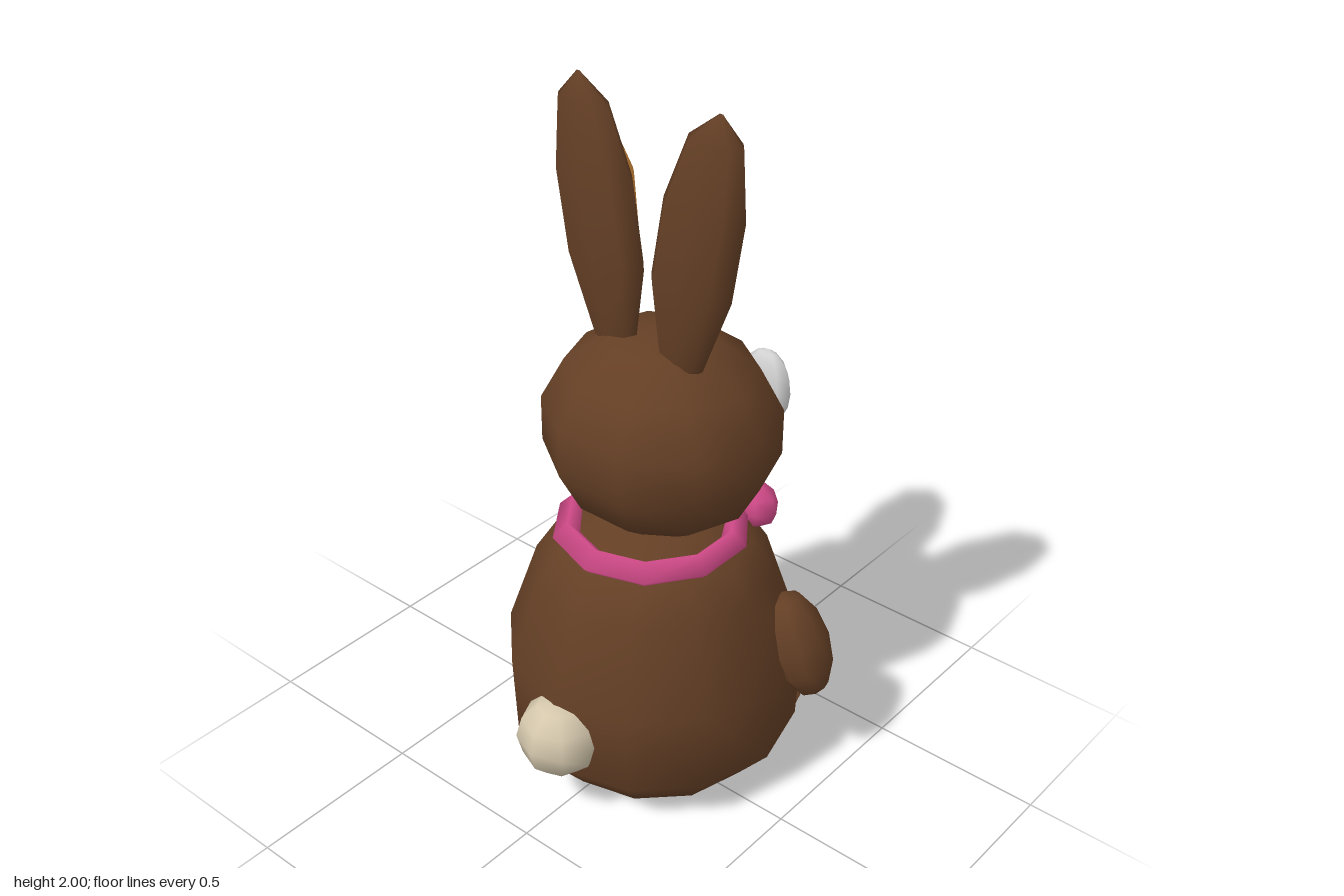
import * as THREE from 'three';

const mat = (name, color) => {
  const m = new THREE.MeshStandardMaterial({ color });
  m.name = name;
  return m;
};

export function createModel() {
  const fur = mat('brown fur', 0x643f25);
  const paw = mat('light brown', 0x7c4e30);
  const lip = mat('dark brown', 0x4a2c17);
  const innerEar = mat('amber', 0xb8772f);
  const pink = mat('pink', 0xd04a88);
  const white = mat('eye white', 0xd2d2d2);
  const black = mat('black', 0x0a0a0a);
  const cream = mat('cream', 0xd4c7ac);

  const model = new THREE.Group();
  const add = (name, geometry, material, pos = [0, 0, 0], rot = [0, 0, 0]) => {
    const mesh = new THREE.Mesh(geometry, material);
    mesh.name = name;
    mesh.position.set(...pos);
    mesh.rotation.set(...rot);
    model.add(mesh);
    return mesh;
  };

  // Ellipsoid with given half sizes
  const blob = (rx, ry, rz, seg = 8, rows = 6, start = 0) =>
    new THREE.SphereGeometry(1, seg, rows, start).scale(rx, ry, rz);

  // Upright loft through elliptical rows [y, zMin, zMax, half thickness]
  const loft = (rows, cx, side, n = 8) => {
    const pos = [], index = [];
    rows.forEach(([y, z0, z1, t], i) => {
      const cz = side * (z0 + z1) / 2, w = (z1 - z0) / 2;
      for (let j = 0; j < n; j++) {
        const a = (j / n) * Math.PI * 2;
        pos.push(cx + t * Math.cos(a), y, cz + w * Math.sin(a));
        if (i < rows.length - 1) {
          const p = i * n + j, q = i * n + (j + 1) % n;
          index.push(p, p + n, q, q, p + n, q + n);
        }
      }
    });
    const g = new THREE.BufferGeometry();
    g.setAttribute('position', new THREE.Float32BufferAttribute(pos, 3));
    g.setIndex(index);
    g.computeVertexNormals();
    return g;
  };

  // Body
  const profile = [[0, 0.03], [0.31, 0.03], [0.41, 0.15], [0.42, 0.39],
    [0.335, 0.64], [0.27, 0.74], [0.15, 0.8], [0, 0.82]];
  add('body', new THREE.LatheGeometry(profile.map(p => new THREE.Vector2(...p)), 12), fur, [0.045, 0, 0]);

  // Head, muzzle, nose and mouth
  add('head', blob(0.313, 0.295, 0.338, 10, 7, Math.PI / 10), fur, [0.07, 1.06, 0]);
  add('muzzle', blob(0.09, 0.08, 0.15, 10, 6), paw, [0.305, 0.935, 0]);
  add('nose', blob(0.033, 0.034, 0.055), pink, [0.42, 1.01, 0]);
  const smile = new THREE.CatmullRomCurve3([[0.365, 0.93, 0.145], [0.395, 0.907, 0.08], [0.408, 0.9, 0],
    [0.395, 0.907, -0.08], [0.365, 0.93, -0.145]].map(p => new THREE.Vector3(...p)));
  add('mouth', new THREE.TubeGeometry(smile, 10, 0.014, 5), lip);

  // Tail
  add('tail', blob(0.115, 0.118, 0.12, 8, 6), cream, [-0.357, 0.27, 0]);

  // Neck ribbon with a diamond section
  add('ribbon', new THREE.TorusGeometry(0.232, 0.042, 4, 10).rotateX(Math.PI / 2).rotateY(Math.PI),
    pink, [0.03, 0.76, 0]);

  const earRows = [[1.27, 0.1, 0.12, 0], [1.31, 0.04, 0.18, 0.03], [1.53, 0.012, 0.265, 0.058],
    [1.75, 0.05, 0.3, 0.06], [1.93, 0.125, 0.288, 0.04], [2, 0.215, 0.225, 0]];
  const innerRows = [[1.37, 0.105, 0.115, 0], [1.46, 0.088, 0.19, 0.02], [1.56, 0.08, 0.215, 0.028],
    [1.75, 0.1, 0.243, 0.028], [1.82, 0.145, 0.24, 0.018], [1.88, 0.195, 0.205, 0]];

  for (const s of [1, -1]) {
    const side = s > 0 ? 'PlusZ' : 'MinusZ';
    // Ears
    add('ear' + side, loft(earRows, 0.012, s), fur);
    add('innerEar' + side, loft(innerRows, 0.077, s), innerEar);
    // Eyes; both glints sit toward the same side
    add('eye' + side, blob(0.036, 0.11, 0.08, 8, 8), white, [0.34, 1.115, s * 0.14]);
    add('pupil' + side, blob(0.03, 0.087, 0.048, 8, 8), black, [0.364, 1.105, s * 0.133]);
    add('glint' + side, blob(0.022, 0.026, 0.026), white, [0.382, 1.148, s * 0.134 - 0.019]);
    // Bow loop
    add('bowLoop' + side, blob(0.072, 0.077, 0.11), pink, [0.292, 0.76, s * 0.117]);
    // Arm, leaning outward at the hand
    add('arm' + side, blob(0.095, 0.16, 0.078), fur, [0.212, 0.438, s * 0.383], [-s * 0.42, 0, 0]);
    // Foot, toes tipped up
    add('foot' + side, blob(0.108, 0.058, 0.095, 6, 4), paw, [0.312, 0.086, s * 0.22], [0, 0, 0.72]);
  }
  return model;
}
